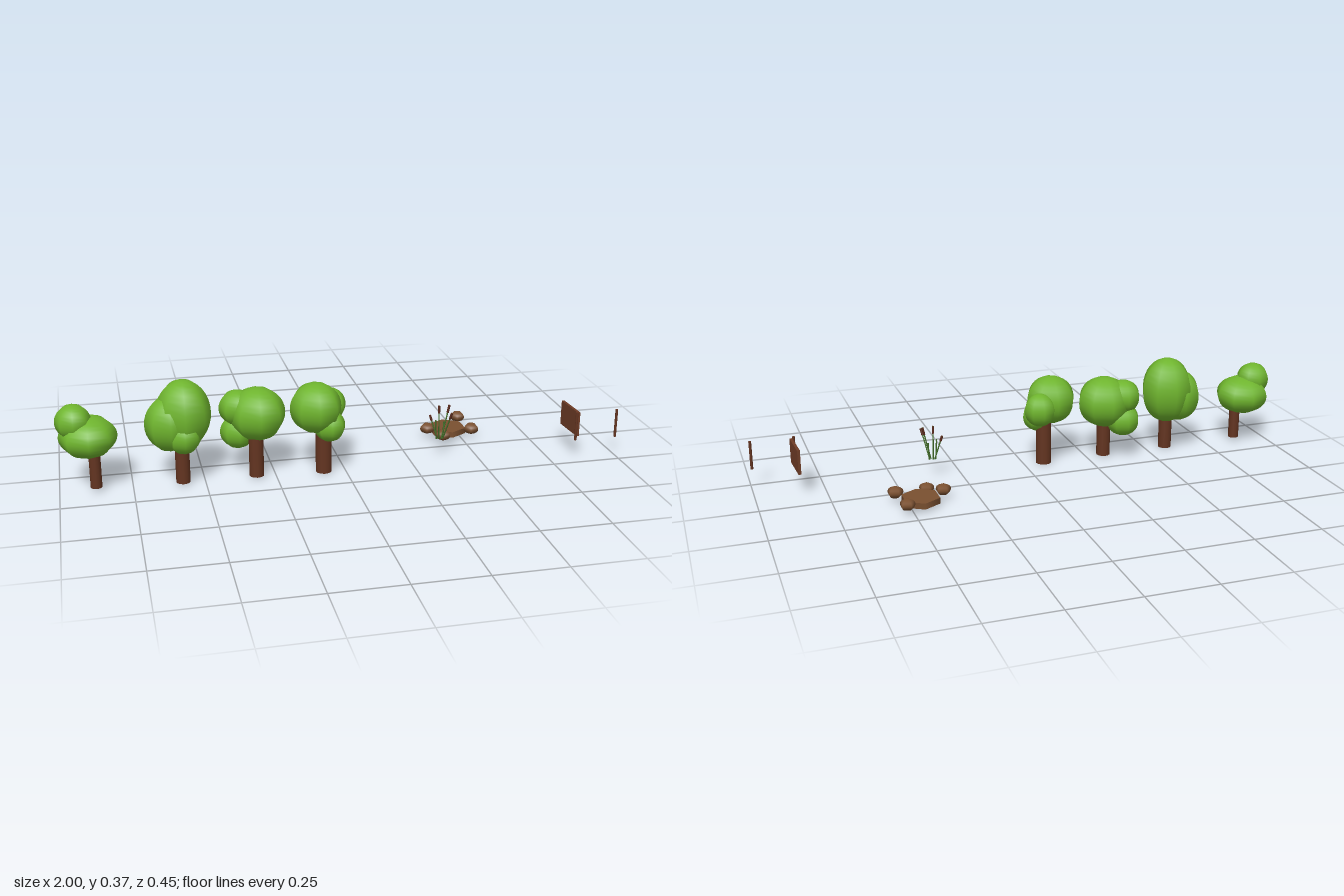
import * as THREE from 'three';

const mat = (color) => new THREE.MeshStandardMaterial({ color });
const leaf = mat(0x6fb52e), bark = mat(0x633420), wood = mat(0x6e3c26);
const stone = mat(0x7a5030), reedGreen = mat(0x44702a), cattail = mat(0x5c2c1e);

function add(parent, name, geometry, material, x, y, z) {
  const mesh = new THREE.Mesh(geometry, material);
  mesh.name = name;
  mesh.position.set(x, y, z);
  parent.add(mesh);
  return mesh;
}

function ball(parent, name, material, sides, [x, y, z, r, ry]) {
  add(parent, name, new THREE.SphereGeometry(1, sides, 16), material, x, y, z).scale.set(r, ry, r);
}

// thin round bar between two points
function bar(parent, name, material, a, b, r) {
  const dir = b.clone().sub(a);
  const mid = a.clone().add(b).multiplyScalar(0.5);
  const mesh = add(parent, name, new THREE.CylinderGeometry(r, r, dir.length(), 6), material, mid.x, mid.y, mid.z);
  mesh.quaternion.setFromUnitVectors(new THREE.Vector3(0, 1, 0), dir.normalize());
}

// trunk: x, z, radius, bottom, top; crown balls: x, y, z, radius, half height
const TREES = [
  { trunk: [-0.875, 0.122, 0.02, 0.012, 0.17],
    crown: [[-0.892, 0.193, 0.103, 0.1, 0.072], [-0.938, 0.252, 0.107, 0.062, 0.061]] },
  { trunk: [-0.577, 0.125, 0.025, 0.005, 0.2],
    crown: [[-0.566, 0.246, 0.1, 0.097, 0.125], [-0.615, 0.218, 0.105, 0.086, 0.098], [-0.57, 0.178, 0.14, 0.06, 0.06]] },
  { trunk: [-0.318, 0.124, 0.026, 0.005, 0.2],
    crown: [[-0.308, 0.227, 0.098, 0.1, 0.095], [-0.375, 0.247, 0.075, 0.065, 0.063], [-0.374, 0.157, 0.07, 0.063, 0.061]] },
  { trunk: [-0.077, 0.127, 0.029, 0, 0.2],
    crown: [[-0.106, 0.246, 0.132, 0.092, 0.09], [-0.043, 0.23, 0.071, 0.058, 0.062], [-0.06, 0.18, 0.15, 0.056, 0.056]] },
];

// stones: x, y, z, radius, half height
const STONES = [
  [0.374, 0.038, -0.1, 0.028, 0.02], [0.524, 0.039, -0.195, 0.028, 0.02],
  [0.538, 0.036, -0.067, 0.029, 0.021], [0.421, 0.027, -0.046, 0.028, 0.02],
];

// reeds: bottom point, top point, whether it carries a cattail
const REEDS = [
  [[0.352, 0.075, 0.1], [0.325, 0.165, 0.09], true],
  [[0.358, 0.075, 0.1], [0.355, 0.203, 0.1], true],
  [[0.365, 0.075, 0.105], [0.395, 0.202, 0.098], true],
  [[0.37, 0.078, 0.108], [0.392, 0.185, 0.14], true],
  [[0.348, 0.075, 0.1], [0.342, 0.15, 0.105], false],
  [[0.372, 0.075, 0.102], [0.375, 0.14, 0.1], false],
];

export function createModel() {
  const model = new THREE.Group();
  const group = (name) => {
    const g = new THREE.Group();
    g.name = name;
    model.add(g);
    return g;
  };

  // row of trees
  TREES.forEach(({ trunk: [x, z, r, y0, y1], crown }) => {
    const tree = group('tree');
    add(tree, 'trunk', new THREE.CylinderGeometry(r, r, y1 - y0, 12), bark, x, (y0 + y1) / 2, z);
    crown.forEach((b) => ball(tree, 'foliage', leaf, 8, b));
  });

  // flat six-sided slab ringed by stones
  const slab = group('stoneSlab');
  add(slab, 'slab', new THREE.CylinderGeometry(0.07, 0.07, 0.022, 6), stone, 0.46, 0.021, -0.121);
  STONES.forEach((s) => ball(slab, 'stone', stone, 5, s));

  // clump of reeds
  const reeds = group('reeds');
  REEDS.forEach(([from, to, head]) => {
    const a = new THREE.Vector3(...from), b = new THREE.Vector3(...to);
    bar(reeds, 'stem', reedGreen, a, b, 0.0025);
    if (head) bar(reeds, 'cattail', cattail, b.clone().lerp(a, 0.22), b, 0.0045);
  });

  // open gate between two posts
  const gate = group('gate');
  const panel = add(gate, 'gatePanel', new THREE.BoxGeometry(0.01, 0.091, 0.132), wood, 0.847, 0.131, 0.144);
  panel.rotation.y = 0.06;
  for (const x of [0.84, 0.994])
    add(gate, 'gatePost', new THREE.CylinderGeometry(0.005, 0.005, 0.106, 8), bark, x, 0.127, 0.217);

  return model;
}
